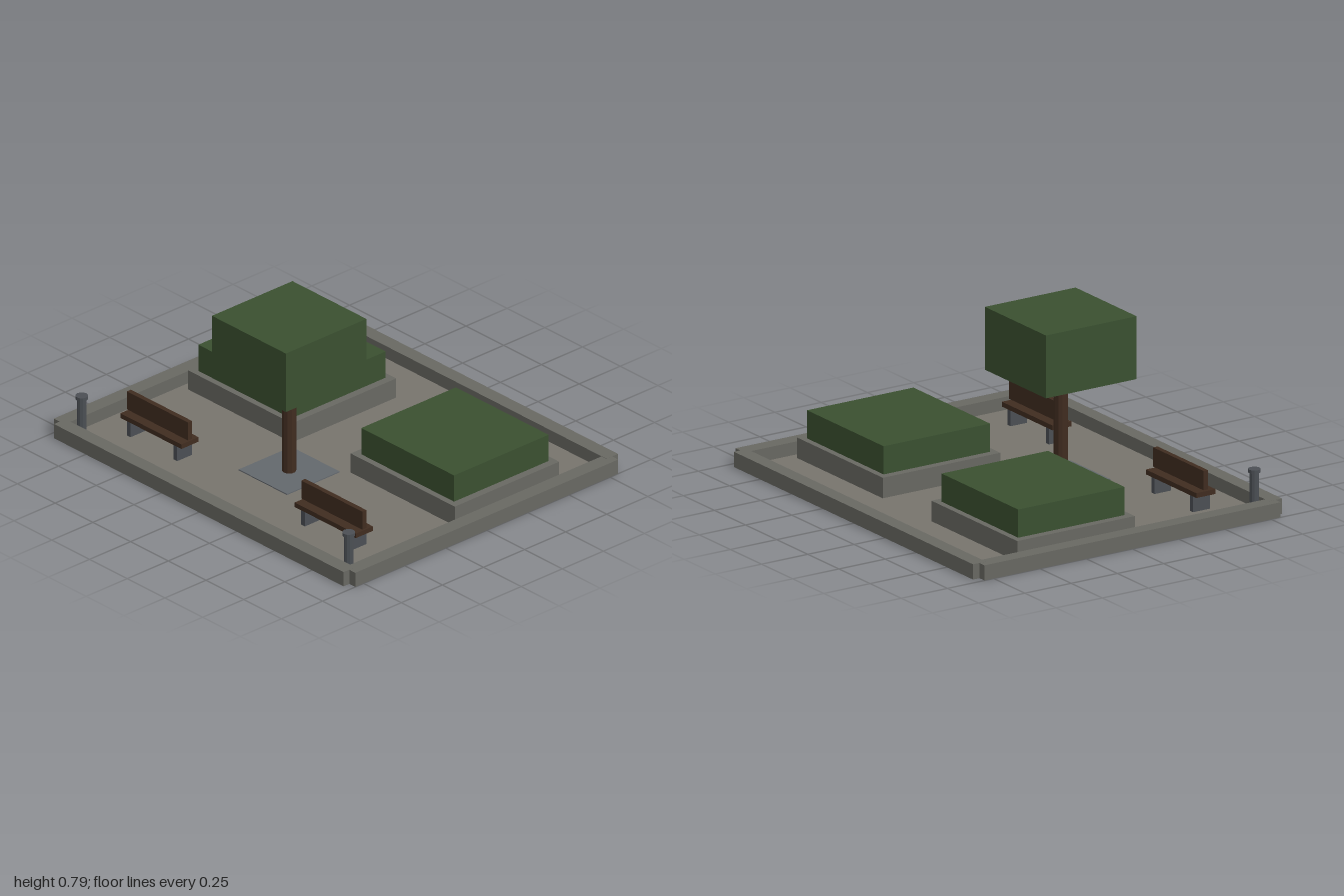
import * as THREE from 'three';

const mat = (color) => new THREE.MeshStandardMaterial({ color, flatShading: true });

export function createModel() {
  const root = new THREE.Group();
  const paving = mat(0x77746d), stone = mat(0x686862), leaf = mat(0x3a5030);
  const wood = mat(0x402c20), metal = mat(0x4b4f54), slate = mat(0x63686d);

  const add = (parent, name, geometry, material, x, y, z) => {
    const mesh = new THREE.Mesh(geometry, material);
    mesh.name = name;
    mesh.position.set(x, y, z);
    parent.add(mesh);
    return mesh;
  };
  // Box given by its centre in x and z, and its bottom and top heights
  const box = (parent, name, material, x, z, w, d, y0, y1) =>
    add(parent, name, new THREE.BoxGeometry(w, y1 - y0, d), material, x, (y0 + y1) / 2, z);
  const post = (parent, name, material, r, y0, y1, sides) =>
    add(parent, name, new THREE.CylinderGeometry(r, r, y1 - y0, sides), material, 0, (y0 + y1) / 2, 0);
  const group = (name, x, z) => {
    const g = new THREE.Group();
    g.name = name;
    g.position.set(x, 0, z);
    root.add(g);
    return g;
  };

  // Paved ground with a curb on each side, leaving notched corners
  box(root, 'pavedGround', paving, 0, 0, 1.93, 1.6, 0.001, 0.01);
  for (const s of [-1, 1]) {
    box(root, s > 0 ? 'frontCurb' : 'backCurb', stone, 0, s * 0.8, 1.92, 0.07, 0, 0.072);
    box(root, s > 0 ? 'leftCurb' : 'rightCurb', stone, s * 0.963, 0, 0.073, 1.6, 0, 0.0715);
  }

  // Tree on a square grate
  const tree = group('tree', 0, 0.285);
  box(tree, 'treeGrate', slate, 0, 0, 0.32, 0.32, 0.005, 0.015);
  post(tree, 'trunk', wood, 0.032, 0.004, 0.5, 10);
  box(tree, 'canopy', leaf, 0, 0, 0.49, 0.49, 0.495, 0.792);

  for (const s of [-1, 1]) {
    const side = s > 0 ? 'left' : 'right';

    // Stone planter with a clipped hedge
    const planter = group(side + 'Planter', s * 0.54, -0.228);
    box(planter, 'planterBox', stone, 0, 0, 0.69, 0.635, 0.003, 0.107);
    box(planter, 'hedge', leaf, 0, 0, 0.615, 0.575, 0.1, 0.24);

    // Bench: seat, upright back, two legs
    const bench = group(side + 'Bench', s * 0.578, 0.544);
    box(bench, 'seat', wood, 0, 0, 0.405, 0.104, 0.088, 0.111);
    box(bench, 'backrest', wood, 0, 0, 0.405, 0.024, 0.117, 0.208);
    for (const x of [-0.155, 0.155]) box(bench, 'leg', metal, x, 0, 0.024, 0.09, 0.005, 0.088);

    // Capped bollard
    const bollard = group(side + 'Bollard', s * 0.885, 0.735);
    post(bollard, 'bollardPost', metal, 0.022, 0.005, 0.197, 12);
    post(bollard, 'bollardCap', metal, 0.029, 0.195, 0.211, 12);
  }

  return root;
}
